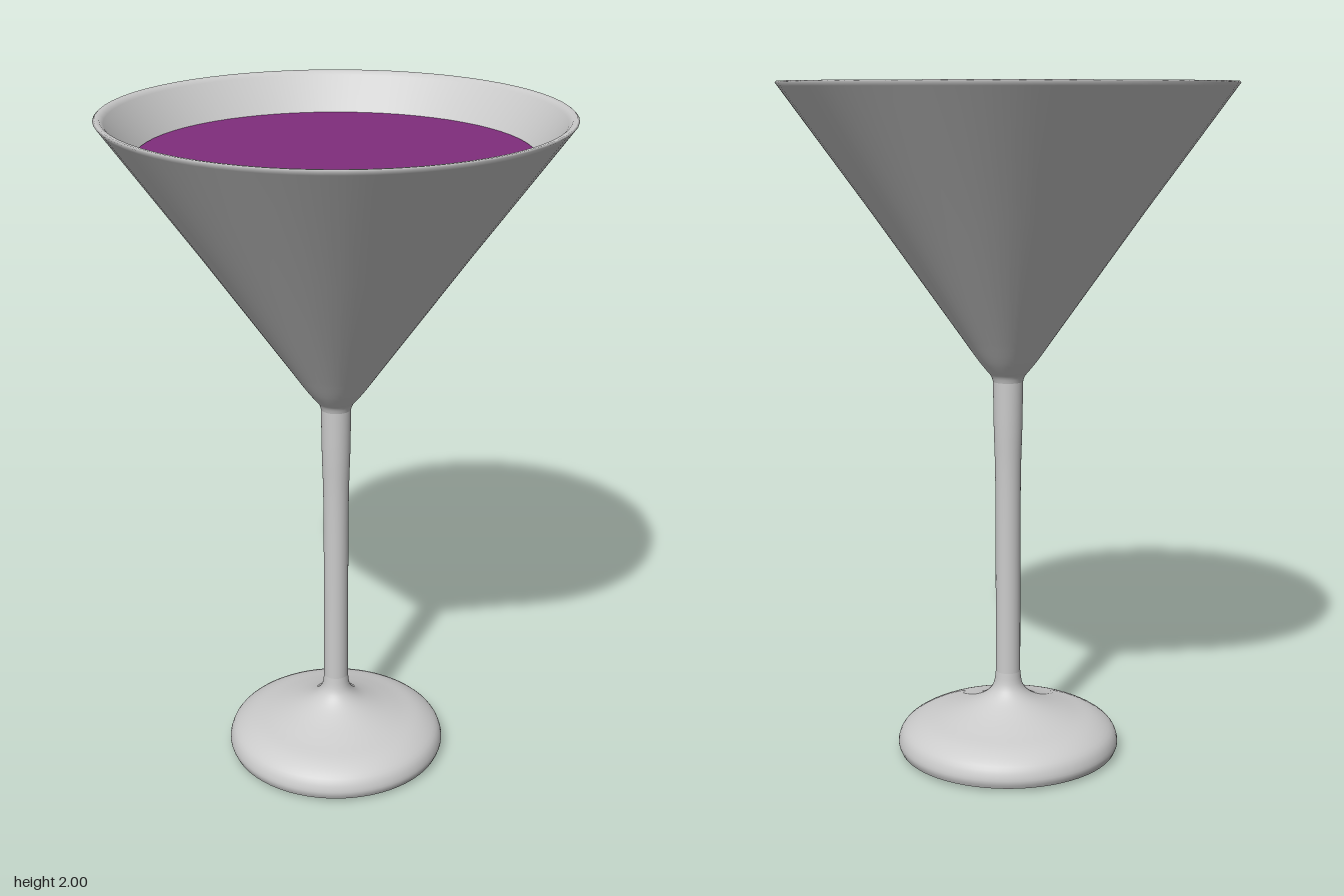
import * as THREE from 'three';

const SEGMENTS = 64;
const toPoints = (list) => list.map(([r, y]) => new THREE.Vector2(r, y));
// Smooth curve through a few radius/height points
const smooth = (list, n) => new THREE.SplineCurve(toPoints(list)).getPoints(n);

function lathe(name, profile, material) {
  const mesh = new THREE.Mesh(new THREE.LatheGeometry(profile, SEGMENTS), material);
  mesh.name = name;
  return mesh;
}

export function createModel() {
  const model = new THREE.Group();
  model.name = 'cocktailGlass';
  const glass = new THREE.MeshStandardMaterial({ color: 0xcccccc, side: THREE.DoubleSide });
  const purple = new THREE.MeshStandardMaterial({ color: 0x802d7d });

  // Flat underside, slightly inset from the foot's edge
  model.add(lathe('footUnderside', toPoints([[0, 0], [0.28, 0], [0.327, 0.01]]), glass));

  // Domed foot flowing up into the stem
  model.add(lathe('foot', smooth([
    [0.327, 0.01], [0.334, 0.035], [0.318, 0.072], [0.27, 0.102], [0.2, 0.122],
    [0.13, 0.145], [0.075, 0.172], [0.045, 0.205], [0.037, 0.25],
  ], 32), glass));

  // Slim stem, slightly thicker towards the bowl
  model.add(lathe('stem', smooth([
    [0.037, 0.25], [0.037, 0.55], [0.038, 0.85], [0.042, 1.0], [0.044, 1.14],
  ], 16), glass));

  // Flared neck, straight outer wall, rounded rim and inner wall
  model.add(lathe('bowl', [
    ...smooth([[0.044, 1.14], [0.05, 1.157], [0.064, 1.174], [0.09, 1.207], [0.13, 1.264]], 12),
    ...toPoints([[0.39, 1.632], [0.645, 1.985], [0.653, 1.996], [0.648, 2],
      [0.635, 1.998], [0.625, 1.988], [0.55, 1.887], [0.3, 1.535], [0.06, 1.2], [0, 1.18]]),
  ], glass));

  // Drink filling the bowl: cone body with a flat surface
  model.add(lathe('drinkBody', toPoints([[0, 1.19], [0.055, 1.205], [0.547, 1.89]]), purple));
  const surface = new THREE.Mesh(new THREE.CircleGeometry(0.549, SEGMENTS), purple);
  surface.name = 'drinkSurface';
  surface.rotation.x = -Math.PI / 2;
  surface.position.y = 1.89;
  model.add(surface);

  return model;
}
